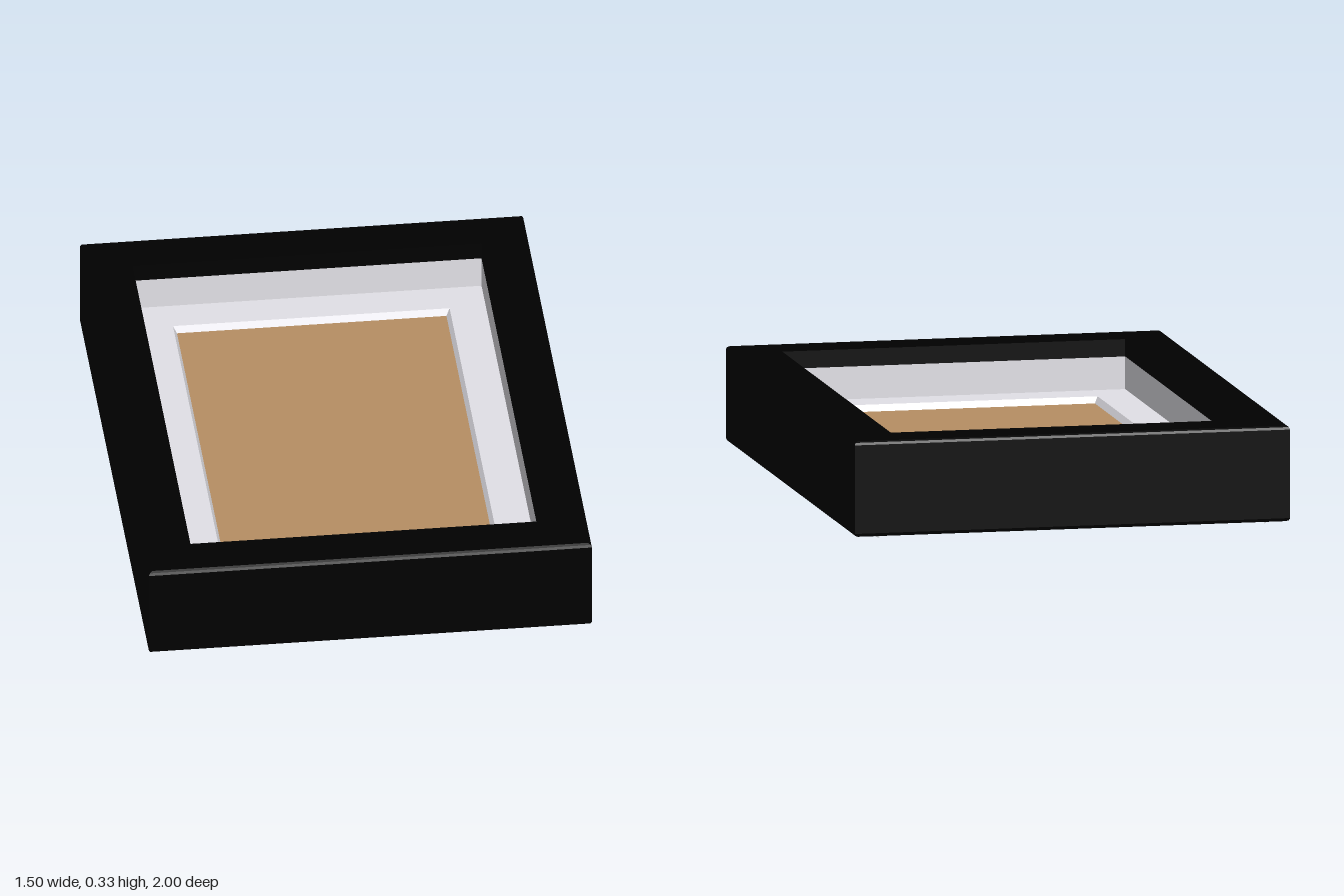
import * as THREE from 'three';

const HW = 0.748, HD = 1; // half width and half depth of the frame
const BACK = 0.11;        // height of the backing panel's underside

const mat = (name, color) => {
  const m = new THREE.MeshStandardMaterial({ color });
  m.name = name;
  return m;
};

// Mitred rectangular ring from a closed profile of [inset, y] points
function mitredRing(profile) {
  const corners = [[1, 1], [1, -1], [-1, -1], [-1, 1]];
  const at = ([inset, y], [sx, sz]) => [sx * (HW - inset), y, sz * (HD - inset)];
  const pos = [];
  corners.forEach((c, j) => {
    const c2 = corners[(j + 1) % 4];
    profile.forEach((p, k) => {
      const p2 = profile[(k + 1) % profile.length];
      const [a, b, d, e] = [at(p, c), at(p, c2), at(p2, c2), at(p2, c)];
      pos.push(...a, ...b, ...d, ...a, ...d, ...e);
    });
  });
  const g = new THREE.BufferGeometry();
  g.setAttribute('position', new THREE.Float32BufferAttribute(pos, 3));
  g.computeVertexNormals();
  return g;
}

// Extrudes an (x, z) outline downward from y = 0
function plate(shape, depth) {
  const g = new THREE.ExtrudeGeometry(shape, { depth, bevelEnabled: false, curveSegments: 14 });
  return g.rotateX(Math.PI / 2);
}

export function createModel() {
  const model = new THREE.Group();
  const black = mat('black wood', 0x000000);
  const white = mat('white card', 0xe3e2e8);
  const tan = mat('tan board', 0xb68f63);
  const olive = mat('dark backing', 0x30312a);
  const steel = mat('grey steel', 0xa9b0b3);
  const bright = mat('bright steel', 0xdfe4e6);

  const add = (name, geometry, material, x = 0, y = 0, z = 0, parent = model) => {
    const m = new THREE.Mesh(geometry, material);
    m.name = name;
    m.position.set(x, y, z);
    parent.add(m);
    return m;
  };
  const box = (w, h, d) => new THREE.BoxGeometry(w, h, d);

  // Deep frame with softened outer edges, a front lip and a rear rebate
  add('frame', mitredRing([
    [0.07, 0.005], [0.012, 0.005], [0.004, 0.009], [0, 0.017],
    [0, 0.318], [0.004, 0.326], [0.012, 0.33],
    [0.159, 0.33], [0.159, 0.271], [0.07, 0.271],
  ]), black);

  // Spacer behind the lip, and the mount with its bevelled window
  add('spacer', mitredRing([[0.07, 0.16], [0.07, 0.271], [0.159, 0.271], [0.159, 0.16]]), white);
  add('mount', mitredRing([[0.07, 0.138], [0.07, 0.16], [0.281, 0.16], [0.293, 0.138]]), white);

  // Picture board and backing panel
  add('pictureBoard', box(1.34, 0.008, 1.84), tan, 0, 0.133, 0);
  add('backingPanel', box(1.354, 0.019, 1.858), olive, 0, BACK + 0.0095, 0);

  // Retaining tabs in the middle of each side
  for (const s of [-1, 1]) {
    add('retainingTab', box(0.05, 0.012, 0.07), black, s * 0.65, BACK - 0.006, 0);
    add('retainingTab', box(0.07, 0.012, 0.05), black, 0, BACK - 0.006, s * 0.9);
  }

  // Slanted easel leg with bare board edges, and its hinge
  const legShape = new THREE.Shape([
    [0.32, -0.025], [0.03, -0.3], [-0.66, 0.87], [-0.66, 0.91], [-0.18, 0.91],
  ].map(([x, z]) => new THREE.Vector2(x, z)));
  add('easelLeg', plate(legShape, 0.018), [olive, tan], 0, BACK, 0);
  add('legHinge', box(0.16, 0.012, 0.06), black, 0.215, BACK - 0.006, -0.195).rotation.y = -Math.PI / 4;

  // Toothed hangers for upright and sideways hanging
  const barShape = new THREE.Shape();
  barShape.moveTo(-0.17, -0.02);
  barShape.lineTo(0.17, -0.02);
  barShape.lineTo(0.17, 0.014);
  for (let i = 0; i < 12; i++) {
    const x = 0.12 - i * 0.02;
    barShape.lineTo(x, 0.014);
    barShape.lineTo(x - 0.01, 0.026);
  }
  barShape.lineTo(-0.12, 0.014);
  barShape.lineTo(-0.17, 0.014);
  const eyeShape = new THREE.Shape();
  eyeShape.absarc(0, 0, 0.043, 0, Math.PI * 2);
  const eyeHole = new THREE.Path();
  eyeHole.absarc(0, 0, 0.016, 0, Math.PI * 2, true);
  eyeShape.holes.push(eyeHole);
  const barGeo = plate(barShape, 0.01), eyeGeo = plate(eyeShape, 0.012);

  for (const [x, z, turn] of [[-0.01, -0.675, 0], [0.43, 0.01, Math.PI / 2]]) {
    const hanger = new THREE.Group();
    hanger.name = 'hanger';
    hanger.position.set(x, BACK, z);
    hanger.rotation.y = turn;
    add('hangerBar', barGeo, steel, 0, 0, 0, hanger);
    for (const s of [-1, 1]) add('hangerEye', eyeGeo, steel, s * 0.18, 0, 0, hanger);
    add('hangerClip', box(0.08, 0.008, 0.075), bright, 0.115, -0.013, 0, hanger);
    model.add(hanger);
  }

  // Wavy joint nails across each mitred corner
  for (const sx of [-1, 1]) for (const sz of [-1, 1]) {
    const nail = new THREE.Group();
    nail.name = 'jointNail';
    nail.position.set(sx * (HW - 0.054), 0.005, sz * (HD - 0.054));
    nail.rotation.y = sx * sz * Math.PI / 4;
    for (let i = 0; i < 4; i++) {
      add('nailFold', box(0.03, 0.01, 0.004), bright, (i - 1.5) * 0.026, 0, 0, nail)
        .rotation.y = (i % 2 ? 1 : -1) * 0.5;
    }
    model.add(nail);
  }
  return model;
}
